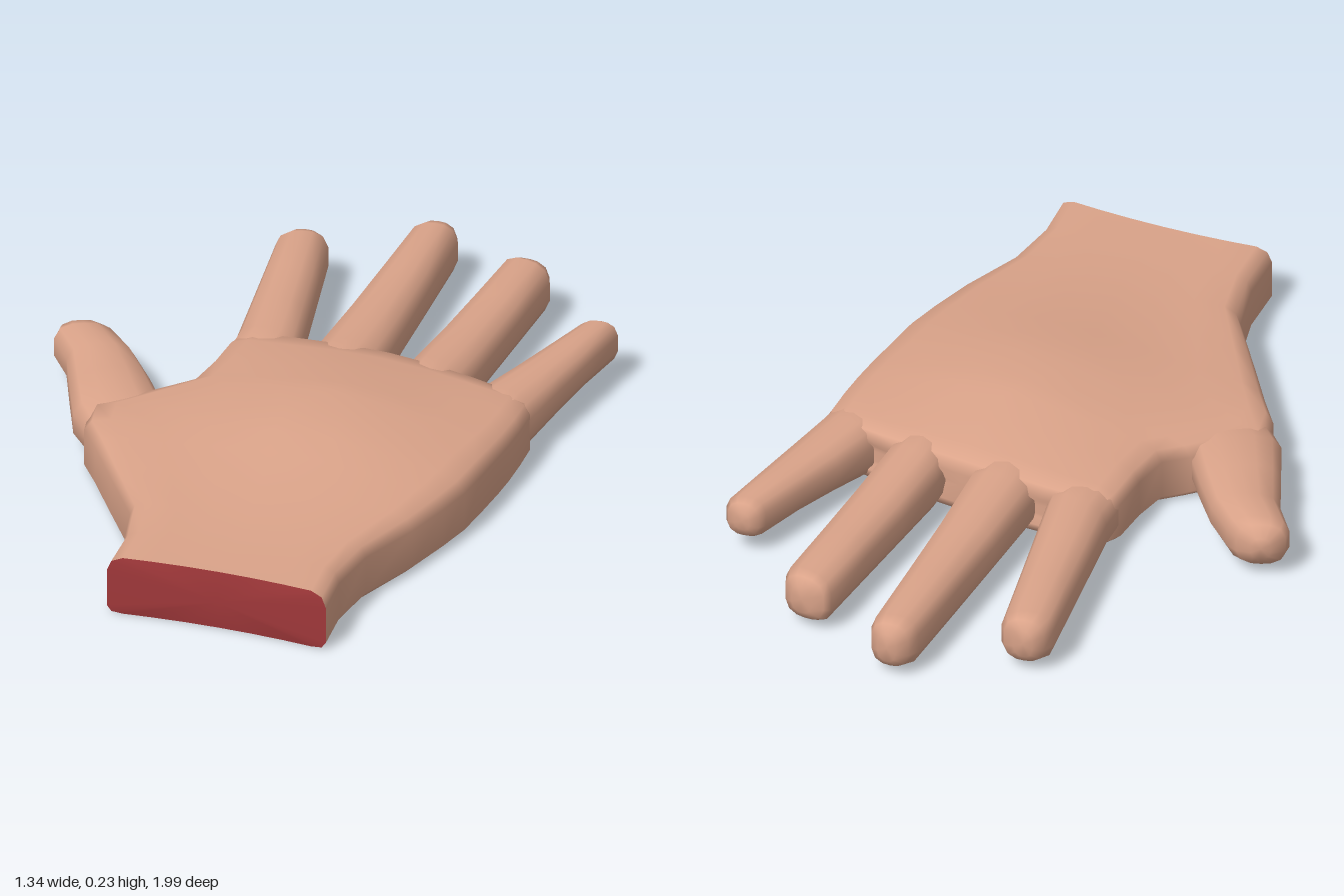
import * as THREE from 'three';

const skin = new THREE.MeshStandardMaterial({ color: 0xdaa389 });
skin.name = 'skin';
const cuffRed = new THREE.MeshStandardMaterial({ color: 0xa0383a });
cuffRed.name = 'wristRed';

// Closed section outline: u runs across the part, v from underside (-1) to top (1)
function profile(us, top, bottom) {
  const upper = us.map((u, i) => [u, top[i]]);
  const lower = us.map((u, i) => [u, bottom[i]]).reverse();
  return [...upper, ...lower];
}
const palmProfile = profile(
  [0, 0.02, 0.07, 0.2, 0.35, 0.5, 0.65, 0.8, 0.93, 0.98, 1],
  [0.5, 0.85, 1, 1, 1, 1, 1, 1, 1, 0.85, 0.5],
  [-0.75, -0.95, -1, -1, -1, -1, -1, -1, -1, -0.95, -0.75]);
const fingerProfile = profile(
  [0, 0.1, 0.3, 0.5, 0.7, 0.9, 1],
  [0.35, 0.78, 0.97, 1, 0.97, 0.78, 0.35],
  [-0.35, -0.78, -0.97, -1, -0.97, -0.78, -0.35]);

// Soft swelling on the back of the hand
const dome = (x, z) => 0.07 * Math.exp(-(((x - 0.18) / 0.3) ** 2) - ((z - 0.15) / 0.36) ** 2);

// Row: [left x, left z, right x, right z, bottom y, top y, bow in z]
function section([xl, zl, xr, zr, yb, yt, bow = 0], outline) {
  return outline.map(([u, v]) => {
    const x = xl + (xr - xl) * u;
    const z = zl + (zr - zl) * u + bow * 4 * u * (1 - u);
    const y = (yb + yt) / 2 + v * (yt - yb) / 2 + dome(x, z) * Math.max(0, v);
    return new THREE.Vector3(x, y, z);
  });
}

function centre(points) {
  const c = new THREE.Vector3();
  points.forEach(p => c.add(p));
  return c.divideScalar(points.length);
}

function toGeometry(points, index) {
  const g = new THREE.BufferGeometry().setFromPoints(points);
  g.setIndex(index);
  g.computeVertexNormals();
  return g;
}

// Skin through the rows, closed at the far end
function loft(rows, outline) {
  const rings = rows.map(r => section(r, outline));
  const n = outline.length, index = [];
  for (let i = 0; i < rings.length - 1; i++) {
    for (let j = 0; j < n; j++) {
      const a = i * n + j, b = i * n + (j + 1) % n;
      index.push(a, b, a + n, b, b + n, a + n);
    }
  }
  const last = (rings.length - 1) * n;
  for (let j = 0; j < n; j++) index.push(last + j, last + (j + 1) % n, rings.length * n);
  return toGeometry([...rings.flat(), centre(rings[rings.length - 1])], index);
}

// Flat end closing the first row
function endCap(row, outline) {
  const ring = section(row, outline), n = ring.length, index = [];
  for (let j = 0; j < n; j++) index.push((j + 1) % n, j, n);
  return toGeometry([...ring, centre(ring)], index);
}

const palmRows = [
  [-0.1, 0.995, 0.49, 0.985, 0, 0.16, -0.018],
  [-0.11, 0.85, 0.475, 0.85, 0, 0.16],
  [-0.15, 0.7, 0.49, 0.7, 0, 0.16],
  [-0.27, 0.53, 0.55, 0.53, 0, 0.16],
  [-0.36, 0.4, 0.583, 0.4, 0, 0.16],
  [-0.42, 0.32, 0.603, 0.3, 0, 0.16],
  [-0.44, 0.23, 0.61, 0.2, 0, 0.16],
  [-0.3, 0.085, 0.615, 0.09, 0, 0.16],
  [-0.245, 0.03, 0.617, 0.02, 0.002, 0.16],
  [-0.233, -0.08, 0.617, -0.06, 0.008, 0.16],
  [-0.233, -0.19, 0.613, -0.14, 0.012, 0.16, -0.02],
  [-0.22, -0.245, 0.6, -0.175, 0.025, 0.153, -0.035],
  [-0.2, -0.26, 0.58, -0.185, 0.055, 0.125, -0.04],
];

const thumbRows = [
  [-0.4, 0.33, -0.2, 0.25, 0.02, 0.14],
  [-0.48, 0.24, -0.3, 0.09, 0.008, 0.16],
  [-0.54, 0.11, -0.365, 0.0, 0.02, 0.16],
  [-0.598, -0.02, -0.44, -0.095, 0.025, 0.16],
  [-0.667, -0.11, -0.52, -0.17, 0.025, 0.16],
  [-0.67, -0.14, -0.555, -0.19, 0.035, 0.153],
  [-0.645, -0.175, -0.6, -0.198, 0.065, 0.125],
];

// Each finger: left and right edge at the root and near the tip, tip centre, underside y
const fingers = [
  { name: 'indexFinger', root: [-0.236, -0.28, -0.06, -0.26], end: [-0.32, -0.77, -0.19, -0.81], tip: [-0.265, -0.838], low: 0.018 },
  { name: 'middleFinger', root: [-0.022, -0.27, 0.162, -0.27], end: [-0.02, -0.94, 0.105, -0.955], tip: [0.045, -1.0], low: 0.015 },
  { name: 'ringFinger', root: [0.235, -0.28, 0.402, -0.23], end: [0.26, -0.865, 0.4, -0.835], tip: [0.335, -0.89], low: 0.018 },
  { name: 'littleFinger', root: [0.45, -0.2, 0.615, -0.17], end: [0.565, -0.605, 0.668, -0.62], tip: [0.615, -0.643], low: 0.045 },
];

function fingerRows({ root, end, tip, low }) {
  const between = t => root.map((v, i) => v + (end[i] - v) * t);
  const rootLow = 0.018;
  const at = (t, k) => [...between(t), rootLow + (low - rootLow) * k, 0.162];
  // Shrink the edges towards the tip centre for the rounded end
  const shrink = (k, z) => [
    tip[0] + (end[0] - tip[0]) * k, tip[1] + (end[1] - tip[1]) * z,
    tip[0] + (end[2] - tip[0]) * k, tip[1] + (end[3] - tip[1]) * z];
  const [xl, zl, xr, zr] = root;
  return [
    [xl + 0.015, zl + 0.16, xr - 0.015, zr + 0.16, 0.035, 0.14],
    [xl + 0.003, zl + 0.06, xr - 0.003, zr + 0.06, 0.022, 0.158],
    at(0, 0), at(0.33, 0.6), at(0.66, 1), at(1, 1),
    [...shrink(0.8, 0.4), low + 0.012, 0.152],
    [...shrink(0.4, 0.04), low + 0.035, 0.13],
  ];
}

export function createModel() {
  const hand = new THREE.Group();
  hand.name = 'hand';
  const add = (name, geometry, material) => {
    const mesh = new THREE.Mesh(geometry, material);
    mesh.name = name;
    hand.add(mesh);
  };
  add('palm', loft(palmRows, palmProfile), skin);
  add('wristEnd', endCap(palmRows[0], palmProfile), cuffRed);
  add('thumb', loft(thumbRows, fingerProfile), skin);
  for (const f of fingers) add(f.name, loft(fingerRows(f), fingerProfile), skin);
  return hand;
}
